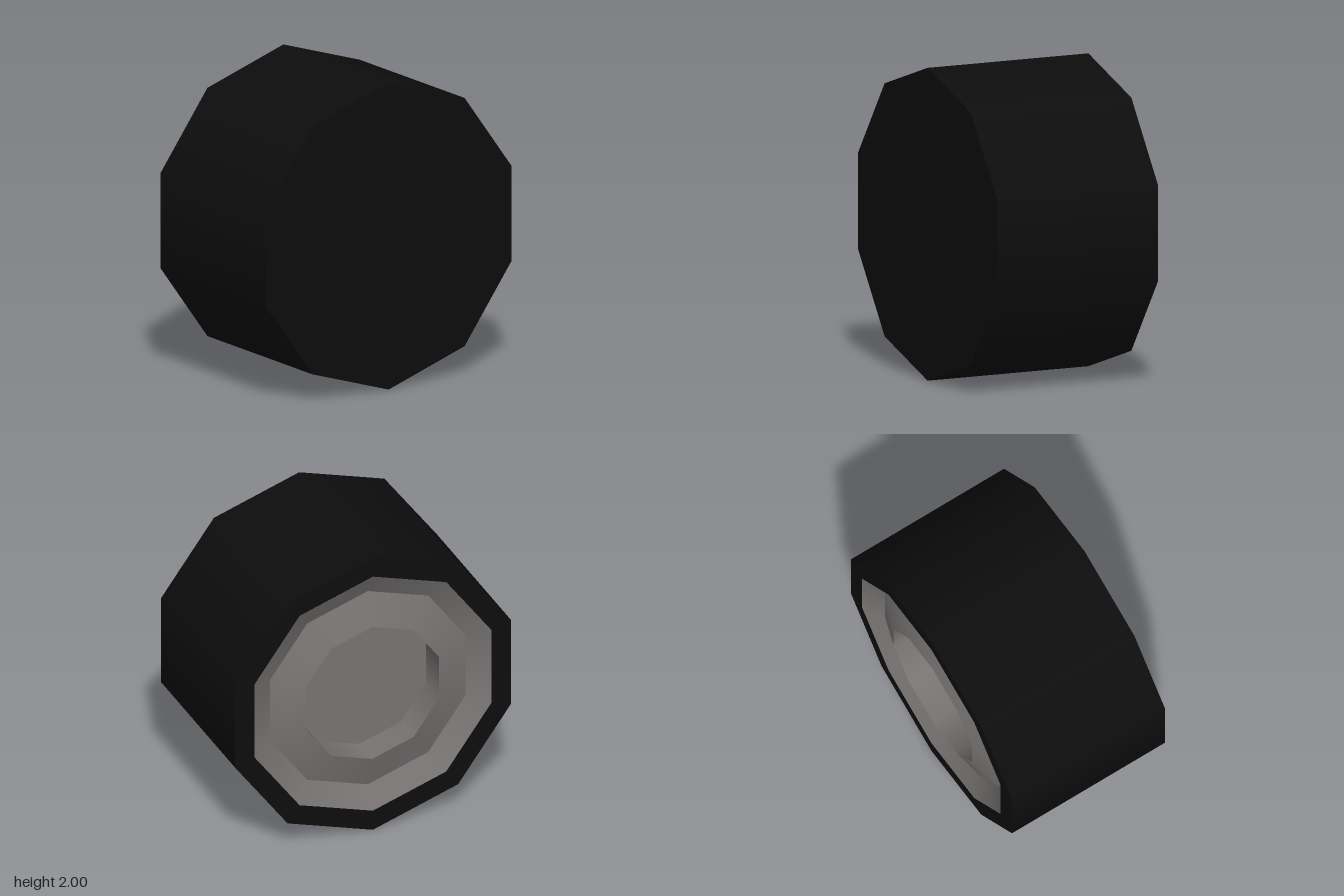
import * as THREE from 'three';

export function createModel() {
  const rubber = new THREE.MeshStandardMaterial({ color: 0x0d0d0d });
  rubber.name = 'black rubber';
  const metal = new THREE.MeshStandardMaterial({ color: 0x787474 });
  metal.name = 'grey metal';

  const wheel = new THREE.Group();
  wheel.name = 'wheel';

  // One ten-sided band between two [radius, offset] rings: smooth around, sharp at its rims
  function band(name, from, to, material) {
    const points = [new THREE.Vector2(...from), new THREE.Vector2(...to)];
    const mesh = new THREE.Mesh(new THREE.LatheGeometry(points, 10, Math.PI / 2), material);
    mesh.name = name;
    wheel.add(mesh);
  }

  const half = 0.57;

  // Tyre: closed inner side, tread and outer lip
  band('innerSidewall', [0, -half], [1, -half], rubber);
  band('tread', [1, -half], [1, half], rubber);
  band('outerSidewall', [1, half], [0.86, half], rubber);

  // Rim: sloping dish, raised hub ring and a deep centre recess
  band('rimDish', [0.86, half], [0.71, 0.49], metal);
  band('hubRing', [0.71, 0.49], [0.485, 0.56], metal);
  band('recessWall', [0.485, 0.56], [0.485, 0.36], metal);
  band('recessFloor', [0.485, 0.36], [0, 0.36], metal);

  // Turn the axle sideways so the rim faces -x, standing on the ground
  wheel.rotation.z = Math.PI / 2;
  wheel.position.y = 1;

  const model = new THREE.Group();
  model.name = 'wheelModel';
  model.add(wheel);
  return model;
}
